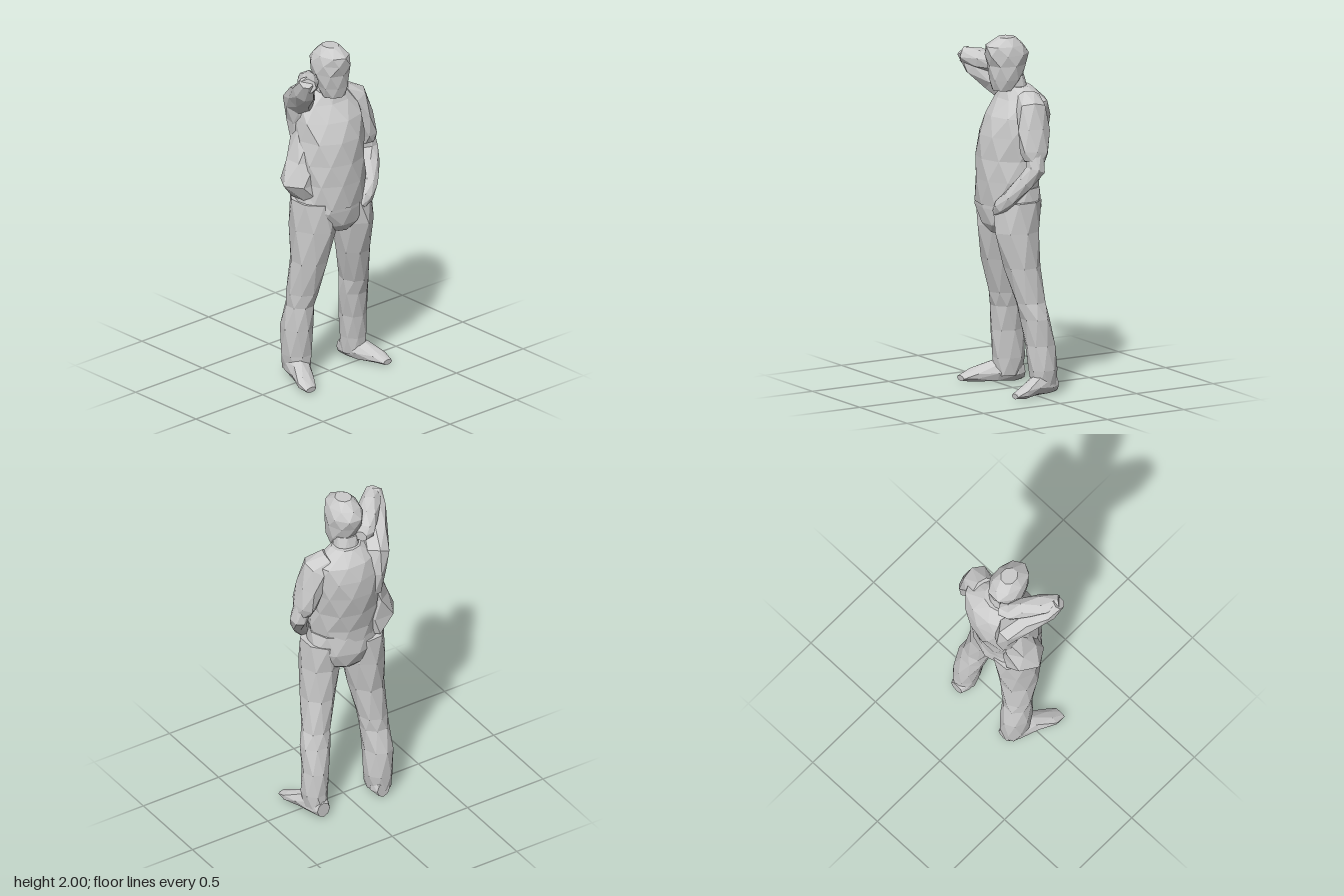
import * as THREE from 'three';

const material = new THREE.MeshStandardMaterial({ color: 0xcccccc, flatShading: true, side: THREE.DoubleSide });

// small seeded noise for the faceted, hand-cut look
let seed = 7;
const noise = () => {
  seed = (seed * 16807) % 2147483647;
  return seed / 2147483647 - 0.5;
};

// skins rings [x, y, z, radiusU, radiusV]; rings face `axis`, or follow the path if none is given
function loft(name, rings, { sides = 8, axis = null, rough = 0.1 } = {}) {
  const centres = rings.map((r) => new THREE.Vector3(r[0], r[1], r[2]));
  const positions = [];
  const index = [];
  rings.forEach((r, i) => {
    const t = axis ? axis.clone() : centres[Math.min(i + 1, rings.length - 1)].clone()
      .sub(centres[Math.max(i - 1, 0)]).normalize();
    const u = Math.abs(t.x) > 0.8 ? new THREE.Vector3(0, 1, 0) : new THREE.Vector3(1, 0, 0);
    u.addScaledVector(t, -u.dot(t)).normalize();
    const v = t.clone().cross(u);
    for (let j = 0; j < sides; j++) {
      const a = ((j + 0.5 * (i % 2)) / sides) * Math.PI * 2;
      const k = 1.03 + rough * noise();
      const p = centres[i].clone()
        .addScaledVector(u, Math.cos(a) * r[3] * k)
        .addScaledVector(v, Math.sin(a) * r[4] * k);
      positions.push(p.x, Math.max(p.y, 0), p.z);
    }
  });
  for (let i = 0; i < rings.length - 1; i++) {
    for (let j = 0; j < sides; j++) {
      const n = (j + 1) % sides;
      const a = i * sides + j, b = i * sides + n, c = a + sides, d = b + sides;
      if (i % 2) index.push(a, b, d, a, d, c);
      else index.push(a, b, c, b, d, c);
    }
  }
  // end caps
  const last = (rings.length - 1) * sides;
  for (let j = 1; j < sides - 1; j++) {
    index.push(0, j + 1, j, last, last + j, last + j + 1);
  }
  const geometry = new THREE.BufferGeometry();
  geometry.setAttribute('position', new THREE.Float32BufferAttribute(positions, 3));
  geometry.setIndex(index);
  geometry.computeVertexNormals();
  const mesh = new THREE.Mesh(geometry, material);
  mesh.name = name;
  return mesh;
}

const UP = new THREE.Vector3(0, 1, 0);
const AHEAD = new THREE.Vector3(1, 0, 0);

export function createModel() {
  const model = new THREE.Group();
  model.name = 'standingMan';

  // loose shirt
  model.add(loft('shirt', [
    [0.03, 1.06, 0.02, 0.165, 0.185],
    [0.025, 1.2, 0.01, 0.172, 0.2],
    [0.01, 1.32, 0.01, 0.178, 0.2],
    [-0.008, 1.45, 0.0, 0.188, 0.205],
    [-0.025, 1.56, -0.01, 0.165, 0.205],
    [-0.045, 1.65, -0.015, 0.12, 0.185],
    [-0.03, 1.72, 0.0, 0.07, 0.085],
  ], { sides: 10, axis: UP, rough: 0.06 }));

  // shirt side pulled out to a corner below the raised arm
  model.add(loft('shirtFlare', [
    [-0.02, 1.1, 0.16, 0.11, 0.06],
    [-0.03, 1.2, 0.19, 0.11, 0.12],
    [-0.035, 1.33, 0.165, 0.1, 0.09],
    [-0.05, 1.5, 0.13, 0.09, 0.06],
  ], { sides: 6, axis: UP, rough: 0.04 }));

  // seat of the trousers
  model.add(loft('hips', [
    [0.04, 0.9, 0.0, 0.1, 0.07],
    [0.03, 0.95, 0.0, 0.145, 0.17],
    [0.02, 1.04, 0.01, 0.165, 0.22],
    [0.02, 1.16, 0.01, 0.16, 0.2],
  ], { sides: 10, axis: UP, rough: 0.05 }));

  // trouser legs
  model.add(loft('rightLeg', [
    [-0.08, 0.04, 0.175, 0.085, 0.065],
    [-0.08, 0.14, 0.175, 0.09, 0.08],
    [-0.075, 0.3, 0.18, 0.1, 0.08],
    [-0.055, 0.44, 0.17, 0.085, 0.08],
    [-0.045, 0.52, 0.165, 0.09, 0.085],
    [-0.01, 0.72, 0.145, 0.115, 0.1],
    [0.0, 0.92, 0.125, 0.145, 0.12],
    [0.0, 1.09, 0.12, 0.15, 0.12],
  ], { axis: UP }));
  model.add(loft('leftLeg', [
    [-0.06, 0.04, -0.225, 0.075, 0.06],
    [-0.055, 0.14, -0.225, 0.08, 0.075],
    [-0.045, 0.28, -0.215, 0.085, 0.075],
    [-0.02, 0.43, -0.2, 0.08, 0.085],
    [0.0, 0.52, -0.185, 0.085, 0.075],
    [0.03, 0.72, -0.15, 0.105, 0.095],
    [0.05, 0.92, -0.125, 0.13, 0.115],
    [0.04, 1.09, -0.11, 0.135, 0.115],
  ], { axis: UP }));

  // shoes, toes turned outward
  model.add(loft('rightShoe', [
    [-0.16, 0.05, 0.165, 0.045, 0.04],
    [-0.11, 0.07, 0.175, 0.07, 0.065],
    [0.0, 0.055, 0.21, 0.06, 0.07],
    [0.1, 0.035, 0.265, 0.035, 0.06],
    [0.165, 0.02, 0.285, 0.015, 0.035],
  ], { axis: AHEAD }));
  model.add(loft('leftShoe', [
    [-0.14, 0.05, -0.22, 0.045, 0.04],
    [-0.09, 0.07, -0.225, 0.07, 0.06],
    [0.01, 0.055, -0.245, 0.055, 0.06],
    [0.1, 0.035, -0.28, 0.035, 0.05],
    [0.165, 0.02, -0.29, 0.015, 0.03],
  ], { axis: AHEAD }));

  // neck, square-jawed head and cap
  model.add(loft('neck', [
    [-0.03, 1.64, 0.0, 0.07, 0.08],
    [0.0, 1.78, 0.015, 0.07, 0.07],
  ], { axis: UP }));
  model.add(loft('head', [
    [0.05, 1.7, 0.015, 0.065, 0.065],
    [0.04, 1.76, 0.015, 0.09, 0.085],
    [0.025, 1.84, 0.02, 0.115, 0.095],
    [0.025, 1.9, 0.02, 0.13, 0.1],
    [0.04, 1.95, 0.02, 0.115, 0.085],
    [0.03, 1.995, 0.02, 0.05, 0.045],
  ], { axis: UP, rough: 0.07 }));

  // right arm: raised, elbow forward, hand behind the head
  model.add(loft('rightUpperArm', [
    [-0.1, 1.4, 0.13, 0.06, 0.05],
    [-0.1, 1.54, 0.135, 0.085, 0.065],
    [-0.09, 1.65, 0.155, 0.095, 0.075],
    [0.0, 1.73, 0.21, 0.075, 0.07],
    [0.09, 1.8, 0.27, 0.065, 0.055],
    [0.14, 1.88, 0.3, 0.04, 0.035],
  ], { sides: 7 }));
  model.add(loft('rightForearm', [
    [0.15, 1.86, 0.295, 0.045, 0.04],
    [0.08, 1.84, 0.23, 0.06, 0.055],
    [0.0, 1.81, 0.165, 0.055, 0.055],
    [-0.06, 1.78, 0.11, 0.055, 0.045],
    [-0.09, 1.78, 0.06, 0.035, 0.03],
  ], { sides: 7 }));

  // left arm: hanging sleeve, forearm reaching to the front pocket
  model.add(loft('leftSleeve', [
    [-0.03, 1.68, -0.12, 0.06, 0.04],
    [-0.01, 1.62, -0.185, 0.085, 0.075],
    [0.0, 1.5, -0.22, 0.095, 0.065],
    [0.01, 1.38, -0.25, 0.085, 0.06],
    [0.02, 1.33, -0.26, 0.06, 0.05],
  ], { sides: 7 }));
  model.add(loft('leftForearm', [
    [0.01, 1.4, -0.255, 0.05, 0.045],
    [0.02, 1.29, -0.28, 0.055, 0.05],
    [0.07, 1.22, -0.25, 0.045, 0.048],
    [0.13, 1.13, -0.19, 0.042, 0.045],
    [0.16, 1.07, -0.13, 0.035, 0.045],
    [0.165, 1.03, -0.09, 0.02, 0.025],
  ], { sides: 7 }));

  return model;
}
